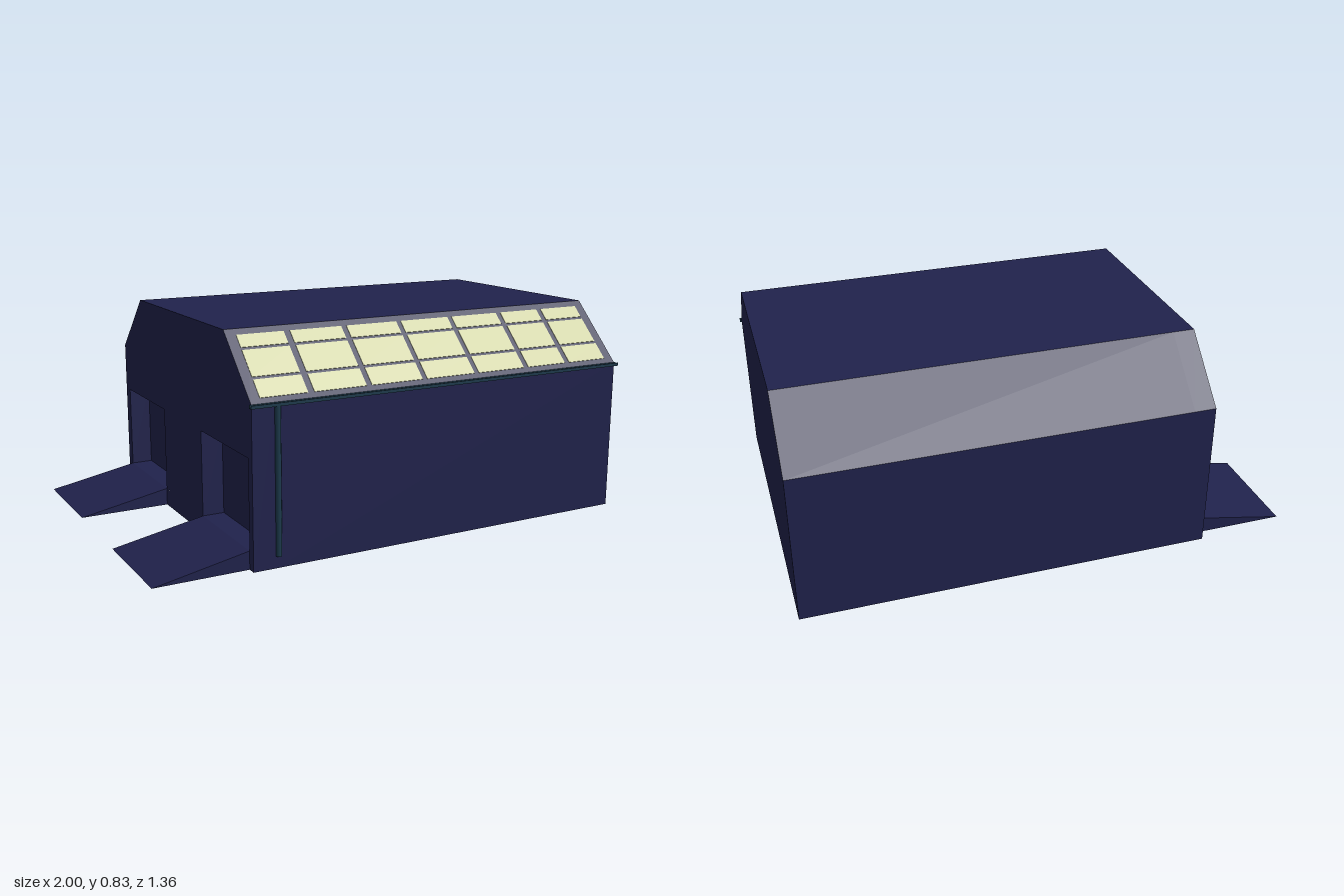
import * as THREE from 'three';

const navy = new THREE.MeshStandardMaterial({ color: 0x20224c, flatShading: true });
const glass = new THREE.MeshStandardMaterial({ color: 0xcccf9e });
const teal = new THREE.MeshStandardMaterial({ color: 0x1c3a4c });

const X0 = -0.635, X1 = 0.99, RECESS = 0.087, SILL = 0.07;
const EAVE = { y: 0.605, z: 0.665 }, RIDGE = { y: 0.832, z: 0.435 };

function shapeOf(points) {
  return new THREE.Shape(points.map(([x, y]) => new THREE.Vector2(x, y)));
}

function extrude(shape, depth) {
  return new THREE.ExtrudeGeometry(shape, { depth, bevelEnabled: false });
}

// Gable section drawn in (-z, y), swept along +x
function gable() {
  return shapeOf([[-EAVE.z, 0], [0.68, 0], [0.68, EAVE.y], [0.45, RIDGE.y], [-RIDGE.z, RIDGE.y], [-EAVE.z, EAVE.y]]);
}

export function createModel() {
  const model = new THREE.Group();
  const add = (name, geometry, material, x = 0, y = 0, z = 0, parent = model) => {
    const mesh = new THREE.Mesh(geometry, material);
    mesh.name = name;
    mesh.position.set(x, y, z);
    parent.add(mesh);
    return mesh;
  };

  // Main hall
  add('hall', extrude(gable(), X1 - X0 - RECESS).rotateY(Math.PI / 2), navy, X0 + RECESS);

  // Door wall with two recessed openings
  const doors = [[-0.635, -0.2], [0.2, 0.632]];
  const wall = gable();
  for (const [a, b] of doors) {
    wall.holes.push(shapeOf([[-b, SILL], [-b, 0.41], [-a, 0.41], [-a, SILL]]));
  }
  add('doorWall', extrude(wall, RECESS).rotateY(Math.PI / 2), navy, X0);

  // Loading ramps
  for (const [a, b] of doors) {
    add('ramp', extrude(shapeOf([[-1, 0], [X0, 0], [X0, SILL]]), b - a), navy, 0, 0, a);
  }

  // Skylight on the front slope: local y runs up the slope, local z points out
  const rise = RIDGE.y - EAVE.y, run = EAVE.z - RIDGE.z;
  const skylight = new THREE.Group();
  skylight.name = 'skylight';
  skylight.position.set(0, EAVE.y, EAVE.z);
  skylight.rotation.x = -Math.atan2(run, rise);
  model.add(skylight);
  const slope = Math.hypot(rise, run) / rise;
  const bays = [[-0.595, -0.408], [-0.383, -0.17], [-0.148, 0.07], [0.09, 0.305], [0.325, 0.54], [0.562, 0.745], [0.767, 0.95]];
  const rows = [[0.622, 0.676], [0.684, 0.765], [0.773, 0.812]];
  for (const [a, b] of bays) {
    for (const [low, high] of rows) {
      add('windowPane', new THREE.BoxGeometry(b - a, (high - low) * slope, 0.004), glass,
        (a + b) / 2, ((low + high) / 2 - EAVE.y) * slope, 0, skylight);
    }
  }

  // Gutter channel along the eave
  const channel = shapeOf([[-0.664, 0.594], [-0.664, 0.606], [-0.667, 0.606], [-0.667, 0.598],
    [-0.679, 0.598], [-0.679, 0.606], [-0.682, 0.606], [-0.682, 0.594]]);
  add('gutter', extrude(channel, 1.64).rotateY(Math.PI / 2), teal, -0.643);

  // Downpipe
  add('downpipe', new THREE.CylinderGeometry(0.011, 0.011, 0.55, 10), teal, -0.538, 0.322, 0.671);

  return model;
}
